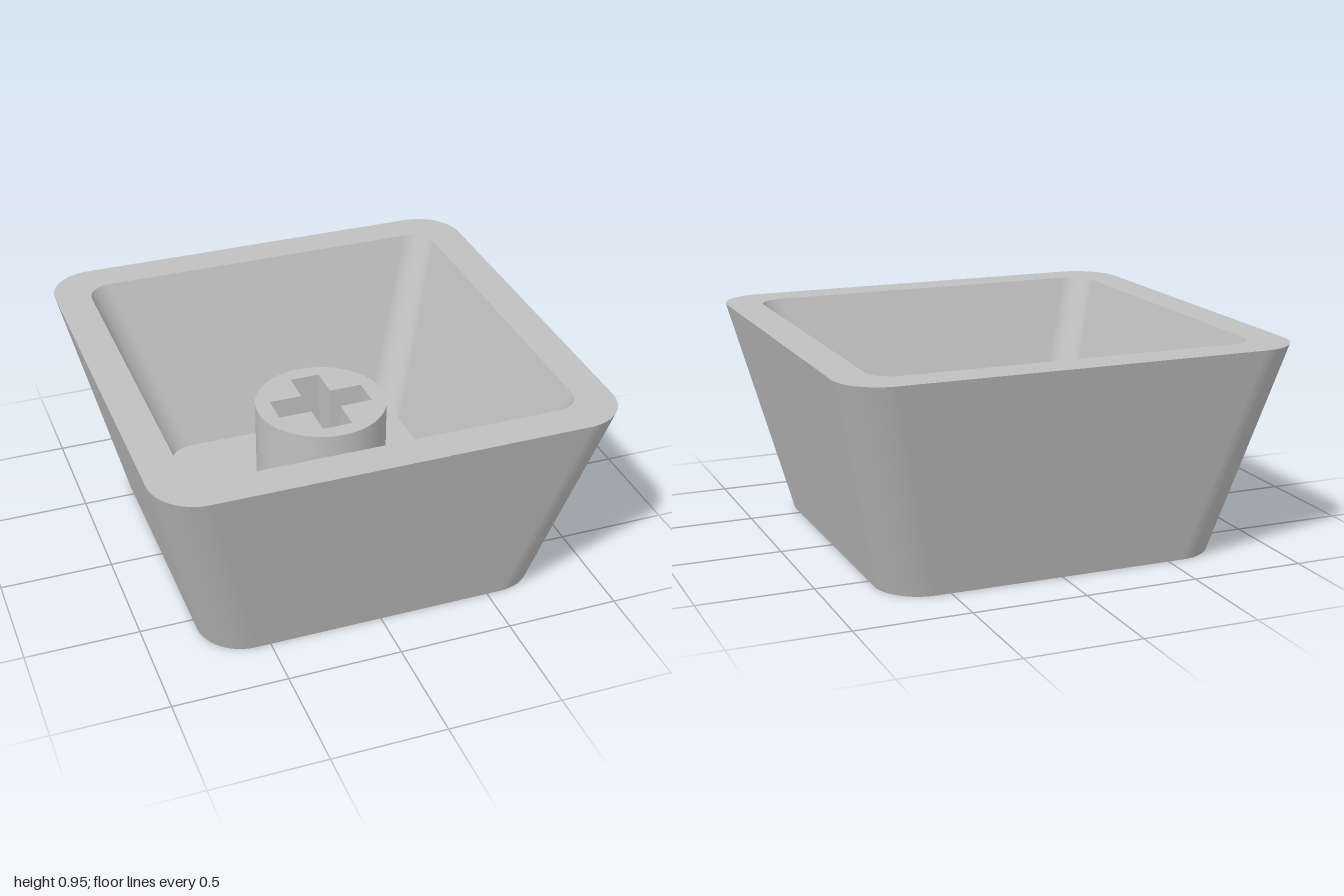
import * as THREE from 'three';
import { toCreasedNormals } from 'three/addons/utils/BufferGeometryUtils.js';

const HEIGHT = 0.95, FLOOR = 0.16, STEM_TOP = 0.654, ARC = 16;

// Points of a rounded square, anticlockwise in the XY plane
function roundedSquare(half, radius) {
  const points = [], c = half - radius;
  [[1, 1], [-1, 1], [-1, -1], [1, -1]].forEach(([sx, sy], corner) => {
    for (let i = 0; i <= ARC; i++) {
      const a = (corner + i / ARC) * Math.PI / 2;
      points.push(new THREE.Vector2(sx * c + radius * Math.cos(a), sy * c + radius * Math.sin(a)));
    }
  });
  return points;
}

// Sloping wall between two loops; faces outward when yA is below yB
function wall(loopA, yA, loopB, yB) {
  const positions = [], index = [], n = loopA.length;
  for (const [loop, y] of [[loopA, yA], [loopB, yB]])
    for (const p of loop) positions.push(p.x, y, -p.y);
  for (let i = 0; i < n; i++) {
    const j = (i + 1) % n;
    index.push(i, j, n + j, i, n + j, n + i);
  }
  const geometry = new THREE.BufferGeometry();
  geometry.setAttribute('position', new THREE.Float32BufferAttribute(positions, 3));
  geometry.setIndex(index);
  geometry.computeVertexNormals();
  return geometry;
}

// Flat horizontal face, looking up or down
function plate(loop, y, up = true, hole = null) {
  const shape = new THREE.Shape(loop);
  if (hole) shape.holes.push(new THREE.Path(hole));
  return new THREE.ShapeGeometry(shape).rotateX(up ? -Math.PI / 2 : Math.PI / 2).translate(0, y, 0);
}

export function createModel() {
  const group = new THREE.Group();
  const plastic = new THREE.MeshStandardMaterial({ color: 0xc0c0c0 });
  plastic.name = 'grey plastic';
  const add = (name, geometry) => {
    const mesh = new THREE.Mesh(geometry, plastic);
    mesh.name = name;
    group.add(mesh);
  };

  // Tapered hollow shell
  const base = roundedSquare(0.765, 0.2), top = roundedSquare(1, 0.2);
  const opening = roundedSquare(0.843, 0.11), floor = roundedSquare(0.575, 0.12);
  add('outerWall', wall(base, 0, top, HEIGHT));
  add('rim', plate(top, HEIGHT, true, opening));
  add('innerWall', wall(opening, HEIGHT, floor, FLOOR));
  add('cavityFloor', plate(floor, FLOOR));
  add('base', plate(base, 0, false));

  // Round stem with a cross-shaped socket
  const stem = new THREE.Shape().absarc(0, 0, 0.293, 0, Math.PI * 2, false);
  const w = 0.068, r = 0.217;
  stem.holes.push(new THREE.Path([
    [w, w], [w, r], [-w, r], [-w, w], [-r, w], [-r, -w],
    [-w, -w], [-w, -r], [w, -r], [w, -w], [r, -w], [r, w],
  ].map(([x, y]) => new THREE.Vector2(x, y))));
  const stemGeometry = new THREE.ExtrudeGeometry(stem, {
    depth: STEM_TOP - FLOOR, bevelEnabled: false, curveSegments: 48,
  }).rotateX(-Math.PI / 2).translate(0, FLOOR, 0);
  add('stem', toCreasedNormals(stemGeometry, 0.5));

  return group;
}
